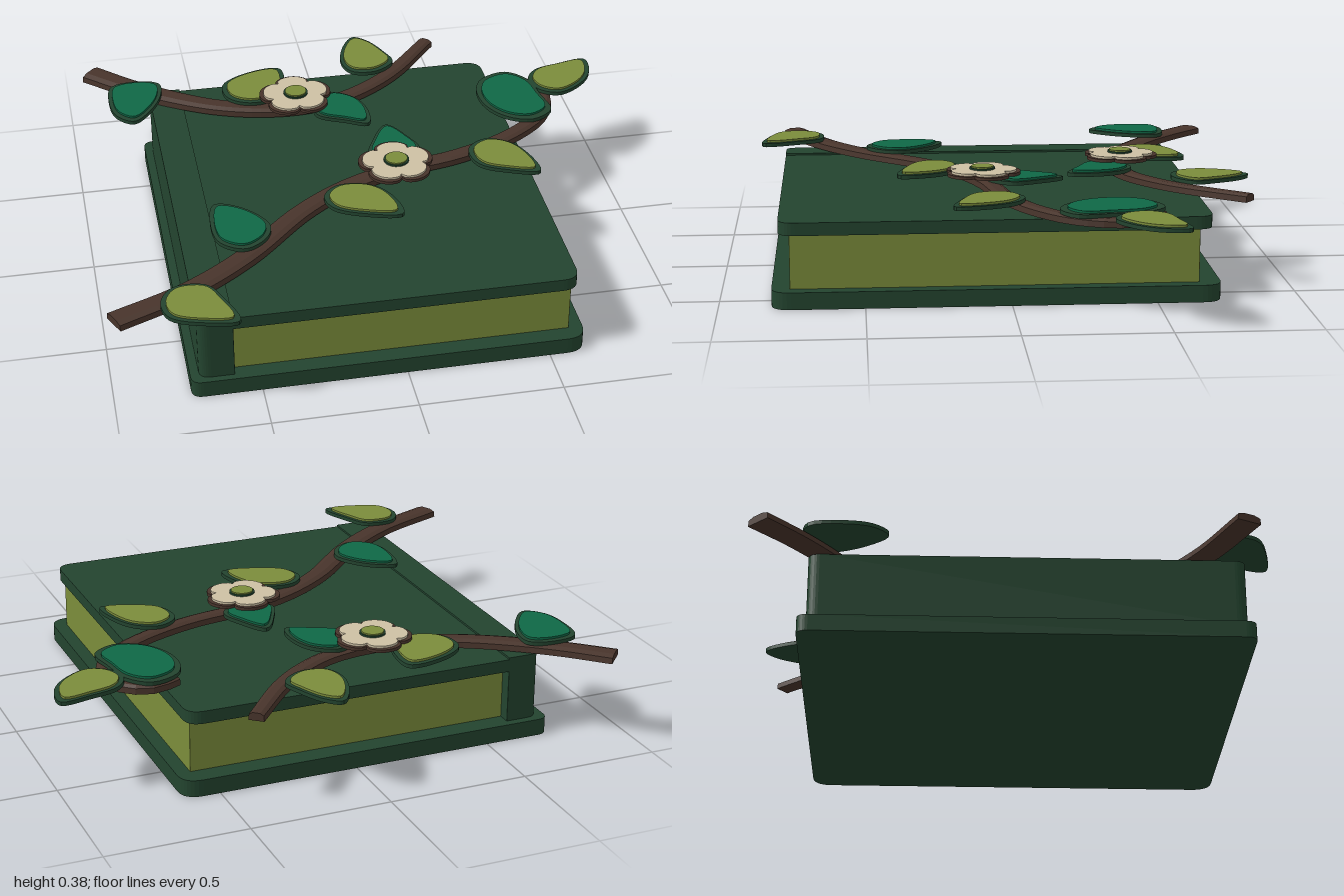
import * as THREE from 'three';

const mat = (name, color) => {
  const m = new THREE.MeshStandardMaterial({ color });
  m.name = name;
  return m;
};

export function createModel() {
  const group = new THREE.Group();
  const cover = mat('coverGreen', 0x23442f);
  const olive = mat('olive', 0x7b8c3b);
  const teal = mat('leafGreen', 0x0f6846);
  const bark = mat('barkBrown', 0x48342b);
  const cream = mat('petalCream', 0xcdc0a4);

  const add = (name, geometry, material) => {
    const mesh = new THREE.Mesh(geometry, material);
    mesh.name = name;
    group.add(mesh);
    return mesh;
  };

  // Flat plate: outline in x/z, standing between heights y0 and y1
  const plate = (name, shape, y0, y1, material) => {
    const g = new THREE.ExtrudeGeometry(shape, { depth: y1 - y0, bevelEnabled: false, curveSegments: 8 });
    g.rotateX(Math.PI / 2);
    g.translate(0, y1, 0);
    return add(name, g, material);
  };

  // Rectangle with its own corner radius at the left (rl) and right (rr)
  const roundedRect = (x0, x1, z0, z1, rl, rr) => {
    const s = new THREE.Shape();
    s.moveTo(x0 + rl, z0);
    s.lineTo(x1 - rr, z0);
    s.quadraticCurveTo(x1, z0, x1, z0 + rr);
    s.lineTo(x1, z1 - rr);
    s.quadraticCurveTo(x1, z1, x1 - rr, z1);
    s.lineTo(x0 + rl, z1);
    s.quadraticCurveTo(x0, z1, x0, z1 - rl);
    s.lineTo(x0, z0 + rl);
    s.quadraticCurveTo(x0, z0, x0 + rl, z0);
    return s;
  };

  // Book
  plate('bottomCover', roundedRect(-0.74, 0.63, -0.725, 0.82, 0.04, 0.07), 0, 0.06, cover);
  plate('topCover', roundedRect(-0.70, 0.60, -0.695, 0.795, 0.04, 0.06), 0.25, 0.295, cover);
  plate('spine', roundedRect(-0.71, -0.59, -0.695, 0.795, 0.04, 0.002), 0.06, 0.302, cover);
  plate('pages', roundedRect(-0.60, 0.58, -0.65, 0.757, 0.002, 0.002), 0.06, 0.25, olive);

  // Tapered branch lofted along a curve in the x/z plane
  const section = [[-1, 0], [-0.94, 0.75], [-0.45, 1], [0.45, 1], [0.94, 0.75], [1, 0]];
  const branch = (name, points, w0, w1) => {
    const curve = new THREE.CatmullRomCurve3(points.map(([x, z]) => new THREE.Vector3(x, 0, z)));
    const steps = 48, n = section.length, pos = [], idx = [];
    for (let i = 0; i <= steps; i++) {
      const p = curve.getPointAt(i / steps), t = curve.getTangentAt(i / steps);
      const half = THREE.MathUtils.lerp(w0, w1, i / steps) / 2;
      for (const [a, h] of section) pos.push(p.x - t.z * a * half, 0.305 + h * 0.028, p.z + t.x * a * half);
    }
    for (let i = 0; i < steps; i++) {
      for (let j = 0; j < n; j++) {
        const a = i * n + j, b = i * n + (j + 1) % n;
        idx.push(a, b, b + n, a, b + n, a + n);
      }
    }
    const end = steps * n;
    for (let j = 1; j < n - 1; j++) idx.push(0, j + 1, j, end, end + j, end + j + 1);
    let g = new THREE.BufferGeometry();
    g.setAttribute('position', new THREE.Float32BufferAttribute(pos, 3));
    g.setIndex(idx);
    g = g.toNonIndexed();
    g.computeVertexNormals();
    add(name, g, bark);
  };
  branch('backBranch', [[-0.92, -0.85], [-0.78, -0.72], [-0.62, -0.6], [-0.46, -0.51], [-0.3, -0.46],
    [-0.15, -0.45], [0, -0.48], [0.13, -0.55], [0.25, -0.65], [0.42, -0.85]], 0.095, 0.055);
  branch('frontBranch', [[-0.98, 0.77], [-0.72, 0.65], [-0.5, 0.49], [-0.26, 0.25], [-0.07, 0.12], [0.11, 0.05],
    [0.35, 0], [0.58, -0.1], [0.72, -0.22], [0.77, -0.35], [0.73, -0.46], [0.65, -0.495], [0.56, -0.46]], 0.09, 0.055);

  // Leaves: dark rim with a smaller coloured face on top
  const leaf = (name, color, pts) => {
    const cx = pts.reduce((s, p) => s + p[0], 0) / pts.length;
    const cz = pts.reduce((s, p) => s + p[1], 0) / pts.length;
    const outline = new THREE.CatmullRomCurve3(pts.map(([x, z]) => new THREE.Vector3(x, z, 0)), true).getPoints(36).slice(0, -1);
    const scaled = (k) => new THREE.Shape(outline.map((p) => new THREE.Vector2(cx + (p.x - cx) * k, cz + (p.y - cz) * k)));
    plate(name + 'Rim', scaled(1), 0.332, 0.346, cover);
    plate(name + 'Face', scaled(0.85), 0.346, 0.354, color);
  };
  leaf('backLeftLeaf', teal, [[-0.85, -0.69], [-0.74, -0.71], [-0.67, -0.68], [-0.67, -0.6], [-0.72, -0.49], [-0.79, -0.42], [-0.85, -0.47], [-0.87, -0.57]]);
  leaf('backMiddleLeaf', olive, [[-0.43, -0.62], [-0.34, -0.69], [-0.2, -0.71], [-0.19, -0.61], [-0.23, -0.5], [-0.34, -0.47], [-0.42, -0.52]]);
  leaf('backInnerLeaf', teal, [[-0.11, -0.34], [-0.01, -0.28], [0.07, -0.245], [0.085, -0.34], [0.05, -0.44], [-0.03, -0.49], [-0.1, -0.45]]);
  leaf('backTopLeaf', olive, [[0.13, -0.895], [0.18, -0.86], [0.23, -0.76], [0.25, -0.68], [0.17, -0.615], [0.08, -0.63], [0.05, -0.71], [0.08, -0.83]]);
  leaf('rightOuterLeaf', olive, [[0.99, -0.555], [0.985, -0.46], [0.93, -0.38], [0.83, -0.325], [0.76, -0.36], [0.735, -0.44], [0.78, -0.51], [0.88, -0.54]]);
  leaf('rightInnerLeaf', teal, [[0.56, -0.48], [0.66, -0.515], [0.73, -0.45], [0.755, -0.32], [0.765, -0.21], [0.68, -0.155], [0.59, -0.19], [0.53, -0.28], [0.52, -0.4]]);
  leaf('centreBackLeaf', teal, [[0.13, -0.22], [0.19, -0.13], [0.22, -0.03], [0.14, 0.05], [0.03, -0.02], [0.06, -0.12]]);
  leaf('frontRightLeaf', olive, [[0.395, 0], [0.47, -0.055], [0.555, -0.015], [0.61, 0.1], [0.615, 0.195], [0.51, 0.17], [0.41, 0.11]]);
  leaf('centreFrontLeaf', olive, [[-0.18, 0.21], [-0.12, 0.15], [-0.01, 0.165], [0.055, 0.24], [0.075, 0.37], [-0.05, 0.35], [-0.16, 0.29]]);
  leaf('frontLeftLeaf', teal, [[-0.57, 0.19], [-0.475, 0.23], [-0.395, 0.35], [-0.42, 0.43], [-0.5, 0.48], [-0.58, 0.43], [-0.6, 0.32]]);
  leaf('frontCornerLeaf', olive, [[-0.82, 0.73], [-0.77, 0.655], [-0.66, 0.66], [-0.61, 0.75], [-0.575, 0.88], [-0.69, 0.87], [-0.8, 0.82]]);

  // Five-petal flowers with a brown rim and a round centre
  const flower = (name, x, z) => {
    const petals = (k) => {
      const pts = [];
      for (let i = 0; i < 60; i++) {
        const a = i / 60 * Math.PI * 2;
        const r = k * (0.105 + 0.034 * Math.sqrt(Math.abs(Math.cos(2.5 * (a + Math.PI / 2)))));
        pts.push(new THREE.Vector2(x + r * Math.cos(a), z + r * Math.sin(a)));
      }
      return new THREE.Shape(pts);
    };
    plate(name + 'Rim', petals(1), 0.355, 0.366, bark);
    plate(name + 'Petals', petals(0.89), 0.366, 0.374, cream);
    const rim = new THREE.CylinderGeometry(0.046, 0.046, 0.008, 24);
    rim.translate(x, 0.376, z);
    add(name + 'CentreRim', rim, cover);
    const disc = new THREE.CylinderGeometry(0.04, 0.04, 0.006, 24);
    disc.translate(x, 0.382, z);
    add(name + 'Centre', disc, olive);
  };
  flower('backFlower', -0.17, -0.465);
  flower('frontFlower', 0.11, 0.07);

  return group;
}
